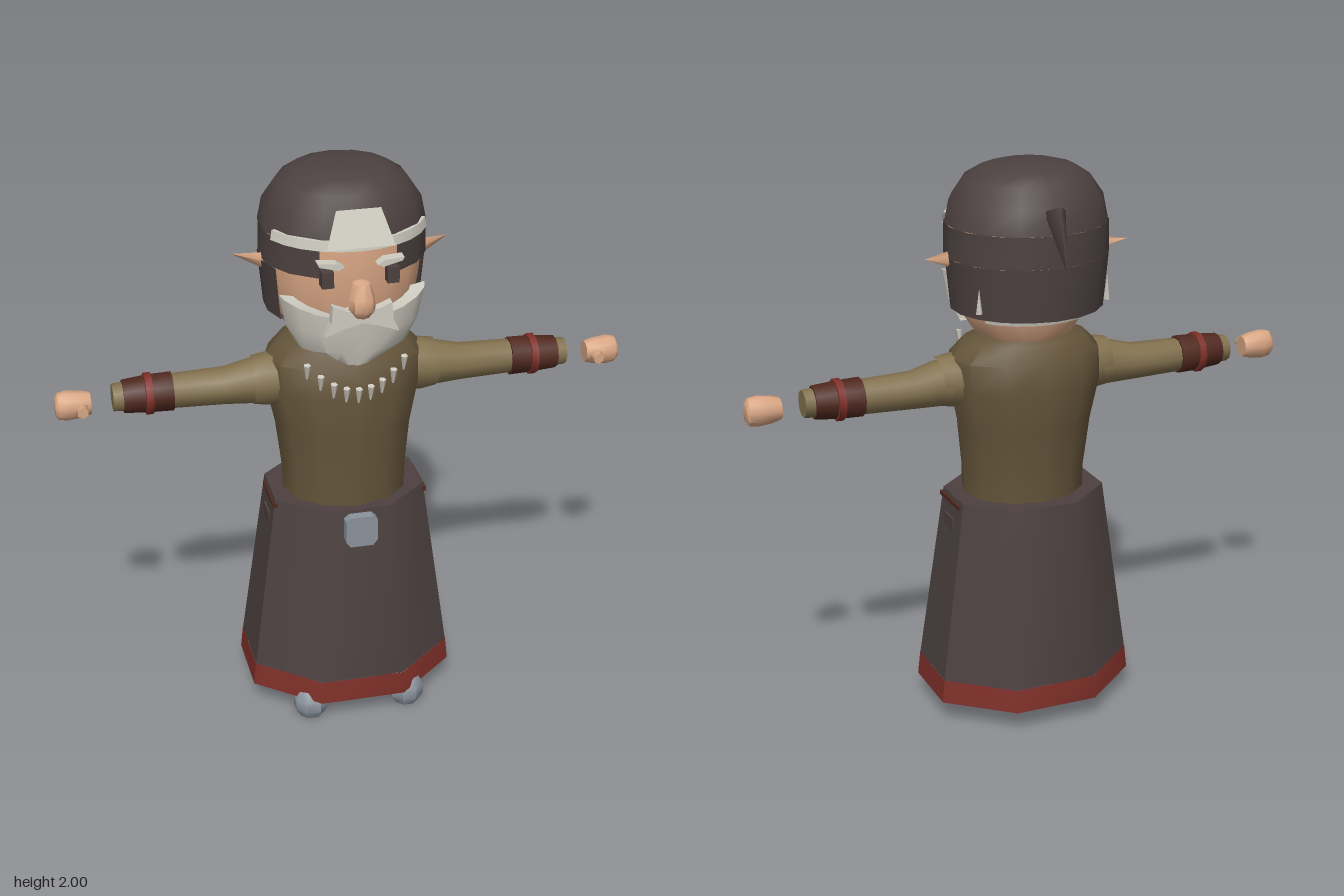
import * as THREE from 'three';
import { toCreasedNormals } from 'three/addons/utils/BufferGeometryUtils.js';

const rad = THREE.MathUtils.degToRad;
const paint = (name, color, side = THREE.FrontSide) => {
  const m = new THREE.MeshStandardMaterial({ color, side });
  m.name = name;
  return m;
};

// Surface through a grid of points; u runs to the right and v upward seen from outside
function grid(nu, nv, point, crease = 0.75) {
  const pos = [], idx = [];
  for (let j = 0; j <= nv; j++) for (let i = 0; i <= nu; i++) pos.push(...point(i, j));
  for (let j = 0; j < nv; j++) for (let i = 0; i < nu; i++) {
    const a = j * (nu + 1) + i, c = a + nu + 1;
    idx.push(a, a + 1, c + 1, a, c + 1, c);
  }
  const g = new THREE.BufferGeometry();
  g.setAttribute('position', new THREE.Float32BufferAttribute(pos, 3));
  g.setIndex(idx);
  return toCreasedNormals(g, crease);
}

// Elliptical rings [y, rx, rz, cz, cx] joined upward, over an arc measured from the front
function shell(rows, n, from = 0, to = 360, crease) {
  return grid(n, rows.length - 1, (i, j) => {
    const [y, rx, rz, cz = 0, cx = 0] = rows[j];
    const a = rad(from + (to - from) * i / n);
    return [cx + rx * Math.sin(a), y, cz + rz * Math.cos(a)];
  }, crease);
}

// Flat-sided solid from an outline in x and y
function plate(points, depth) {
  const s = new THREE.Shape(points.map(([x, y]) => new THREE.Vector2(x, y)));
  return new THREE.ExtrudeGeometry(s, { depth, bevelEnabled: false });
}

// Copy of a geometry reflected in x, with the winding restored
function mirrored(geo) {
  const g = geo.index ? geo.toNonIndexed() : geo.clone();
  for (const key of ['position', 'normal']) {
    const a = g.attributes[key];
    for (let i = 0; i < a.count; i++) a.setX(i, -a.getX(i));
    for (let i = 0; i < a.count; i += 3) {
      const p = [a.getX(i + 1), a.getY(i + 1), a.getZ(i + 1)];
      a.setXYZ(i + 1, a.getX(i + 2), a.getY(i + 2), a.getZ(i + 2));
      a.setXYZ(i + 2, ...p);
    }
  }
  return g;
}

export function createModel() {
  const model = new THREE.Group();
  model.name = 'robedElder';
  const cloth = paint('dark cloth', 0x4c4140, THREE.DoubleSide);
  const trim = paint('red trim', 0x7e2f28, THREE.DoubleSide);
  const tunic = paint('brown tunic', 0x64543a);
  const sleeve = paint('khaki sleeve', 0x82714e);
  const skin = paint('skin', 0xd9a684);
  const hair = paint('white hair', 0xcfccc1, THREE.DoubleSide);
  const leather = paint('leather', 0x50291f);
  const steel = paint('steel', 0x8a929b);

  const add = (name, geo, mat) => {
    const m = new THREE.Mesh(geo, mat);
    m.name = name;
    model.add(m);
  };
  const pair = (name, geo, mat) => {
    add(name + 'Left', geo, mat);
    add(name + 'Right', mirrored(geo), mat);
  };

  // Robe skirt with a red hem, open underneath
  const eighth = [22.5, 382.5];
  add('skirt', shell([[0.165, 0.386, 0.327, 0.03], [0.82, 0.29, 0.25, 0.025],
    [0.82, 0.2, 0.17, 0.03]], 8, ...eighth, 0.85), cloth);
  add('hem', shell([[0.08, 0.396, 0.336, 0.03], [0.165, 0.387, 0.328, 0.03]], 8, ...eighth, 0.85), trim);

  // Belt buckle and side straps
  const buckle = plate([[-0.04, 0.7], [0.04, 0.7], [0.056, 0.72], [0.056, 0.8],
    [0.04, 0.815], [-0.04, 0.815], [-0.056, 0.8], [-0.056, 0.72]], 0.035);
  add('buckle', buckle.translate(0, 0, 0.272), steel);
  pair('sideStrap', new THREE.BoxGeometry(0.02, 0.015, 0.18).translate(0.268, 0.797, 0.04), leather);
  pair('sidePatch', new THREE.BoxGeometry(0.02, 0.08, 0.08).translate(0.275, 0.705, 0.035), cloth);

  // Tunic
  add('torso', shell([[0.8, 0.222, 0.195, 0.035], [0.9, 0.224, 0.195, 0.035], [1.08, 0.245, 0.205, 0.025],
    [1.23, 0.278, 0.218, 0.018], [1.33, 0.278, 0.2, 0.015], [1.39, 0.22, 0.165, 0.01],
    [1.425, 0.13, 0.1, 0], [1.425, 0.001, 0.001, 0]], 12), tunic);

  // Arms are shells laid along x at shoulder height
  const arm = (rows, n = 10) => shell(rows, n).rotateZ(-Math.PI / 2).translate(0, 1.235, 0);
  pair('shoulder', arm([[0.2, 0.09, 0.09, 0.03, -0.015], [0.27, 0.095, 0.085, 0.03, -0.015],
    [0.325, 0.086, 0.078, 0.03, -0.015]]), sleeve);
  pair('sleeve', arm([[0.22, 0.085, 0.08, 0.025, -0.01], [0.33, 0.08, 0.075, 0.025, -0.01],
    [0.42, 0.066, 0.066, 0.02], [0.6, 0.061, 0.058, 0.02], [0.74, 0.052, 0.05, 0.025],
    [0.805, 0.048, 0.047, 0.025], [0.805, 0.001, 0.001, 0.025]]), sleeve);
  pair('bracer', arm([[0.6, 0.04, 0.04, 0.022], [0.6, 0.068, 0.066, 0.022], [0.68, 0.066, 0.064, 0.022],
    [0.77, 0.058, 0.056, 0.025], [0.77, 0.03, 0.03, 0.025]]), leather);
  pair('armBand', arm([[0.667, 0.05, 0.05, 0.022], [0.67, 0.073, 0.071, 0.022],
    [0.695, 0.073, 0.071, 0.022], [0.698, 0.05, 0.05, 0.022]]), trim);

  // Hands float beyond the cuffs
  pair('hand', arm([[0.88, 0.001, 0.001, 0.035], [0.88, 0.038, 0.036, 0.035], [0.91, 0.047, 0.041, 0.035],
    [0.96, 0.053, 0.043, 0.035], [0.99, 0.048, 0.038, 0.035], [1, 0.034, 0.028, 0.035],
    [1, 0.001, 0.001, 0.035]]).translate(0, -0.007, 0), skin);
  pair('thumb', new THREE.CylinderGeometry(0.02, 0.026, 0.06, 6).rotateX(Math.PI / 2)
    .translate(0.913, 1.225, 0.073), skin);

  // Boots
  pair('boot', shell([[0, 0.001, 0.001, 0.07], [0, 0.055, 0.135, 0.07], [0.025, 0.068, 0.15, 0.07],
    [0.08, 0.068, 0.15, 0.07], [0.12, 0.05, 0.12, 0.06], [0.12, 0.001, 0.001, 0.06]], 10)
    .translate(0.178, 0, 0), leather);
  pair('toeCap', shell([[0, 0.001, 0.001, 0.26], [0, 0.045, 0.045, 0.265], [0.03, 0.063, 0.062, 0.265],
    [0.07, 0.064, 0.062, 0.265], [0.105, 0.045, 0.045, 0.26], [0.125, 0.001, 0.001, 0.255]], 8, 22.5, 382.5)
    .translate(0.178, 0, 0), steel);

  // Head
  add('head', shell([[1.36, 0.001, 0.001], [1.37, 0.13, 0.12, 0.01], [1.43, 0.19, 0.175, 0.02],
    [1.5, 0.235, 0.2, 0.025], [1.62, 0.257, 0.22, 0.025], [1.72, 0.268, 0.232, 0.02],
    [1.82, 0.268, 0.235, 0.01]], 16), skin);

  // Hood: full crown, then a brow ring and a neck ring open at the face
  const brim = [1.8, 0.284, 0.268, -0.005], fold = [1.69, 0.286, 0.27, -0.005];
  add('hoodCrown', shell([brim, [1.88, 0.268, 0.25, -0.005], [1.95, 0.22, 0.206, -0.005],
    [1.985, 0.165, 0.15, -0.01], [2, 0.11, 0.1, -0.01], [2, 0.001, 0.001, -0.01]], 14), cloth);
  add('hoodBrow', shell([fold, brim], 14, 27, 333), cloth);
  add('hoodNeck', shell([[1.505, 0.235, 0.22, -0.01], [1.505, 0.268, 0.255, -0.005], fold], 12, 62, 298), cloth);
  add('hoodTail', new THREE.ConeGeometry(0.05, 0.21, 4).scale(0.8, 1, 0.9)
    .rotateX(Math.PI + 0.48).translate(0, 1.785, -0.29), cloth);

  // White hair at the brow, temples and nape
  const lock = grid(2, 1, (i, j) => [(i - 1) * (j ? 0.075 : 0.115), j ? 1.92 : 1.8, j ? 0.235 : 0.275]);
  add('forelock', lock, hair);
  add('browBand', shell([[1.788, 0.27, 0.255, 0], [1.788, 0.289, 0.275, -0.003], [1.822, 0.283, 0.271, -0.003],
    [1.822, 0.26, 0.25, 0]], 10, -67, 67), hair);
  add('napeHair', shell([[1.48, 0.2, 0.17, -0.01], [1.48, 0.225, 0.2, -0.01], [1.515, 0.235, 0.21, -0.01]],
    8, 120, 240), hair);
  pair('hoodFang', new THREE.ConeGeometry(0.012, 0.09, 4).translate(0.235, 1.575, -0.155), hair);

  // Ears
  pair('ear', new THREE.ConeGeometry(0.035, 0.13, 5).scale(1, 1, 0.5)
    .rotateZ(-Math.PI / 2 + 0.15).rotateY(0.3).translate(0.315, 1.69, 0), skin);

  // Nose, eyes and brows
  add('nose', shell([[1.565, 0.001, 0.001, 0.285], [1.565, 0.026, 0.026, 0.285], [1.59, 0.045, 0.044, 0.287],
    [1.63, 0.044, 0.042, 0.285], [1.68, 0.03, 0.03, 0.275], [1.69, 0.001, 0.001, 0.27]], 8), skin);
  pair('eye', new THREE.BoxGeometry(0.04, 0.055, 0.05).translate(0.11, 1.695, 0.248), cloth);
  pair('eyebrow', plate([[0.055, 1.737], [0.075, 1.728], [0.14, 1.745], [0.145, 1.757], [0.08, 1.752]], 0.04)
    .translate(0, 0, 0.235), hair);

  // Beard: a closed profile swept around the jaw, higher at the cheeks
  const beard = [[1.6, 0.2, 0.07], [1.42, 0.13, 0.05], [1.35, 0.07, 0.06], [1.365, 0.115, 0.09],
    [1.42, 0.185, 0.105], [1.5, 0.228, 0.12], [1.61, 0.25, 0.13], [1.6, 0.2, 0.07]];
  add('beard', grid(10, beard.length - 1, (i, j) => {
    const a = rad(-90 + 18 * i), [y, rx, rz] = beard[j];
    const drop = y > 1.55 ? 0.06 * Math.cos(a) ** 2 : 0;
    const lift = y < 1.4 ? 0.05 * Math.sin(a) ** 2 : 0;
    return [rx * Math.sin(a), y - drop + lift, 0.15 + rz * Math.cos(a)];
  }), hair);
  pair('moustache', plate([[0, 1.545], [0.06, 1.53], [0.125, 1.505], [0.105, 1.55], [0.1, 1.61],
    [0.05, 1.59], [0, 1.6]], 0.035).translate(0, 0, 0.262), hair);

  // Tooth necklace hanging in an arc on the chest
  for (let k = -4; k <= 4; k++) {
    const x = k * 0.042, y = 1.257 + 0.085 * (k / 4) ** 2;
    const tooth = new THREE.CylinderGeometry(0.013, 0.004, 0.055, 5);
    add('necklaceTooth', tooth.rotateX(0.15).translate(x, y, 0.25 - 1.6 * x * x), hair);
  }
  return model;
}
